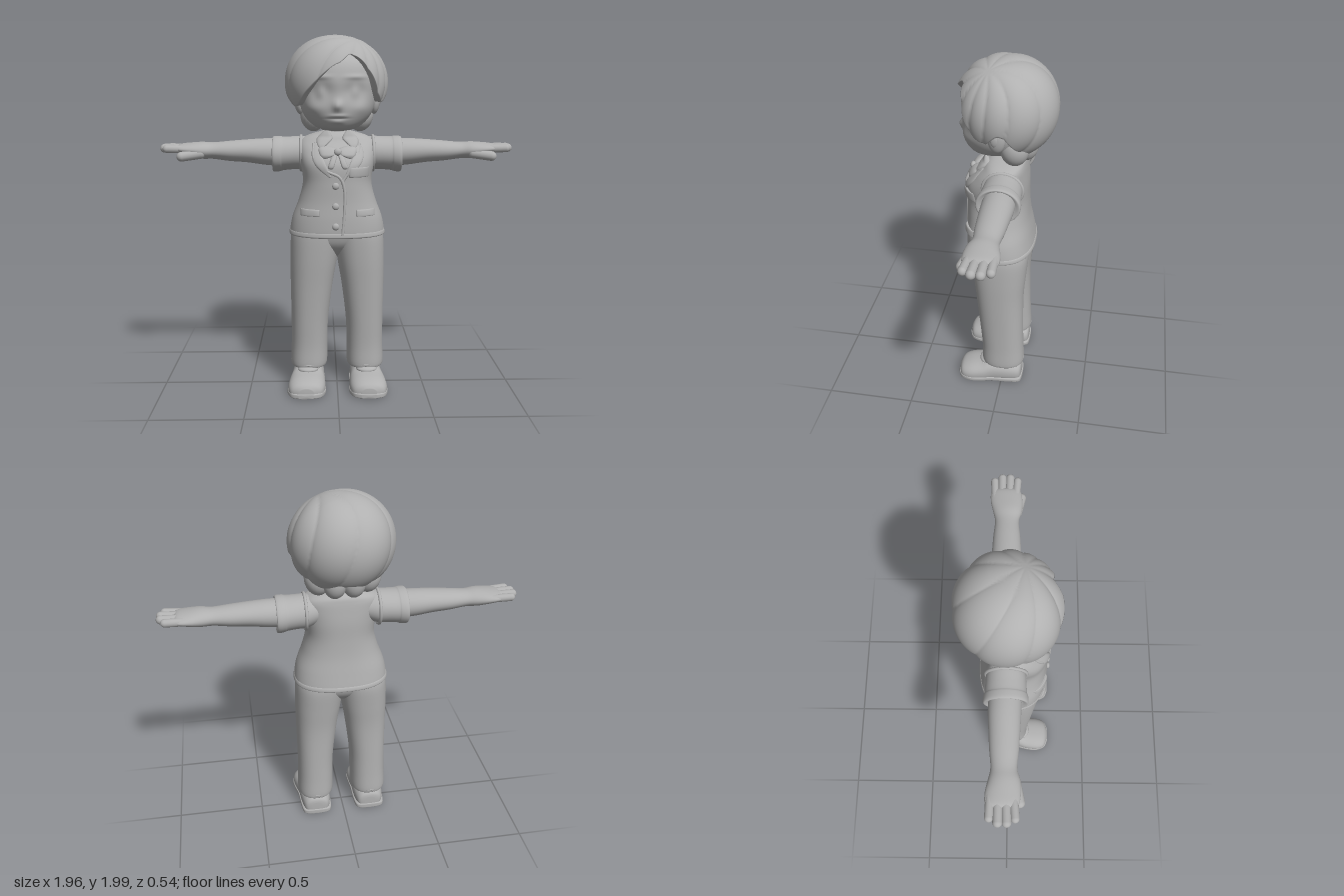
import * as THREE from 'three';

const clay = new THREE.MeshStandardMaterial({ color: 0xb0b0b0 });
clay.name = 'grey clay';

// Catmull-Rom blend of section rows at u in [0, 1]
function blend(rows, u) {
  const f = u * (rows.length - 1), i = Math.min(Math.floor(f), rows.length - 2), t = f - i;
  const at = k => rows[Math.max(0, Math.min(rows.length - 1, k))];
  return rows[0].map((_, c) => {
    const [a, b, d, e] = [at(i - 1)[c], at(i)[c], at(i + 1)[c], at(i + 2)[c]];
    return b + 0.5 * t * (d - a + t * (2 * a - 5 * b + 4 * d - e + t * (3 * (b - d) + e - a)));
  });
}

// Grid of rings to a smooth surface; closed at both ends
function skin(rings, flip) {
  const n = rings[0].length, pos = rings.flat(2), idx = [];
  const tri = (a, b, c) => (flip ? idx.push(a, c, b) : idx.push(a, b, c));
  for (let i = 0; i < rings.length - 1; i++) for (let j = 0; j < n; j++) {
    const a = i * n + j, b = i * n + (j + 1) % n;
    tri(a, b, a + n); tri(b, b + n, a + n);
  }
  [0, rings.length - 1].forEach((r, end) => {
    const mid = [0, 1, 2].map(k => rings[r].reduce((s, p) => s + p[k], 0) / n);
    pos.push(...mid);
    const m = pos.length / 3 - 1;
    for (let j = 0; j < n; j++) {
      const a = r * n + j, b = r * n + (j + 1) % n;
      end ? tri(a, b, m) : tri(b, a, m);
    }
  });
  const g = new THREE.BufferGeometry();
  g.setAttribute('position', new THREE.Float32BufferAttribute(pos, 3));
  g.setIndex(idx);
  g.computeVertexNormals();
  return g;
}

// Loft of super-ellipses; rows are [along, centre u, centre v, radius u, radius v]
function loft(axis, rows, n = 2, rule = p => p, steps = 32, segs = 40) {
  const rings = [];
  const pw = s => Math.sign(s) * Math.abs(s) ** (2 / n);
  for (let i = 0; i <= steps; i++) {
    const [t, cu, cv, ru, rv] = blend(rows, i / steps), ring = [];
    for (let j = 0; j < segs; j++) {
      const a = j / segs * Math.PI * 2, u = cu + ru * pw(Math.cos(a)), v = cv + rv * pw(Math.sin(a));
      ring.push(rule(axis === 'x' ? [t, u, v] : axis === 'y' ? [u, t, v] : [u, v, t]));
    }
    rings.push(ring);
  }
  return skin(rings, axis === 'y');
}

function mirrored(geo) {
  const g = geo.toNonIndexed();
  g.scale(-1, 1, 1);
  for (const a of Object.values(g.attributes)) {
    const s = a.itemSize;
    for (let i = 0; i < a.count; i += 3) for (let k = 0; k < s; k++) {
      const p = i * s + k, q = (i + 2) * s + k, h = a.array[p];
      a.array[p] = a.array[q]; a.array[q] = h;
    }
  }
  return g;
}

function ball(x, y, z, rx, ry, rz, rot = 0) {
  return new THREE.SphereGeometry(1, 24, 16).scale(rx, ry, rz).rotateZ(rot).translate(x, y, z);
}

function capsule(a, b, r) {
  const p = new THREE.Vector3(...a), q = new THREE.Vector3(...b), d = q.clone().sub(p);
  const g = new THREE.CapsuleGeometry(r, d.length(), 8, 16);
  g.applyQuaternion(new THREE.Quaternion().setFromUnitVectors(new THREE.Vector3(0, 1, 0), d.normalize()));
  return g.translate(...p.add(q).multiplyScalar(0.5).toArray());
}

// Vest body
const VEST = [[0.9, 0, 0.025, 0.25, 0.18], [0.915, 0, 0.028, 0.264, 0.19], [1.0, 0, 0.036, 0.25, 0.184],
  [1.1, 0, 0.042, 0.213, 0.173], [1.2, 0, 0.046, 0.19, 0.17], [1.3, 0, 0.045, 0.203, 0.168],
  [1.37, 0, 0.026, 0.213, 0.143], [1.42, 0, 0.006, 0.205, 0.116], [1.45, 0, 0, 0.16, 0.1], [1.475, 0, 0, 0.075, 0.07]];

// Depth of the vest front at (x, y)
function front(x, y) {
  let lo = 0, hi = 1;
  for (let k = 0; k < 16; k++) blend(VEST, (lo + hi) / 2)[0] < y ? lo = (lo + hi) / 2 : hi = (lo + hi) / 2;
  const [, , cz, rx, rz] = blend(VEST, lo);
  return cz + rz * Math.max(0, 1 - Math.abs(x / rx) ** 2.4) ** (1 / 2.4);
}

// Padded cloth piece draped on the vest front; rows are [y, centre x, half width, thickness]
function pad(rows) {
  return loft('y', rows.map(([y, x, w, d]) => [y, x, 0, w, d]), 3,
    ([x, y, z]) => [x, y, z + front(x, Math.min(y, 1.445))], 18, 28);
}

function flap(x, y, w, h) {
  return pad([[y - h, x, w * 0.9, 0.002], [y - h * 0.85, x, w, 0.013], [y + h * 0.85, x, w, 0.013], [y + h, x, w * 0.9, 0.002]]);
}

function piping(points, r = 0.008) {
  const c = new THREE.CatmullRomCurve3(points.map(([x, y]) => new THREE.Vector3(x, y, front(x, y))));
  return new THREE.TubeGeometry(c, 40, r, 10);
}

// Face relief: nose, eye hollows, eyeballs, lips, brows, cheeks as soft bumps [x, y, width, height, amount]
const RELIEF = [[0, 1.615, 0.024, 0.03, 0.024], [0.09, 1.69, 0.05, 0.05, -0.024], [0.09, 1.685, 0.026, 0.036, 0.02],
  [0, 1.563, 0.04, 0.009, 0.008], [0, 1.548, 0.05, 0.005, -0.005], [0, 1.53, 0.03, 0.012, 0.006],
  [0.1, 1.765, 0.06, 0.012, 0.008], [0.13, 1.6, 0.05, 0.035, 0.008]];
function face([x, y, z]) {
  if (z > 0.06) for (const [bx, by, w, h, k] of RELIEF)
    z += k * Math.exp(-(((Math.abs(x) - bx) / w) ** 2) - ((y - by) / h) ** 2);
  return [x, y, z];
}

// Swept hair: a grooved cap whose lower edge follows a hairline
const HAIRLINE = [1.83, 1.88, 1.82, 1.68, 1.63, 1.69, 1.61, 1.55, 1.54, 1.56, 1.57, 1.56, 1.54, 1.55, 1.61, 1.68, 1.62, 1.62, 1.69, 1.77, 1.83]
  .map(y => [y]);
function hairCap() {
  const rows = 50, segs = 180, rings = [];
  for (let i = 1; i <= rows + 4; i++) {
    const t = Math.min(i / rows, 1), tuck = [1, 0.97, 0.9, 0.8, 0.68][Math.max(0, i - rows)], ring = [];
    for (let j = 0; j < segs; j++) {
      const a = j / segs * Math.PI * 2, edge = blend(HAIRLINE, j / segs)[0];
      const phi = t * Math.acos((edge - 1.735) / 0.255), s = Math.sin(phi) ** 0.9;
      const x = Math.sin(a) * s, z = Math.cos(a) * s;
      const dx = x - 0.4, dz = z - 0.3, away = Math.min(1, Math.hypot(dx, dz) * 1.5);
      const lock = Math.abs(Math.sin(Math.atan2(dx, dz) * 5 + phi * 0.9)) ** 0.6;
      const k = (0.965 + 0.05 * away * lock) * tuck;
      ring.push([x * 0.28 * k - 0.003, 1.735 + 0.255 * Math.cos(phi) * (0.985 + 0.03 * lock * away) + (1 - tuck) * 0.04, z * 0.272 * k]);
    }
    rings.push(ring);
  }
  return skin(rings, true);
}

export function createModel() {
  const model = new THREE.Group();
  model.name = 'standing figure';
  const add = (name, geo) => {
    const m = new THREE.Mesh(geo, clay);
    m.name = name;
    model.add(m);
  };
  const pair = (name, geo) => { add(name + 'Left', geo); add(name + 'Right', mirrored(geo)); };

  // Head and hair
  add('head', loft('y', [[1.478, 0, 0.08, 0.04, 0.05], [1.495, 0, 0.06, 0.11, 0.125], [1.54, 0, 0.03, 0.167, 0.188],
    [1.6, 0, 0.02, 0.2, 0.212], [1.68, 0, 0.02, 0.213, 0.213], [1.76, 0, 0.02, 0.213, 0.213],
    [1.85, 0, 0.01, 0.19, 0.19], [1.93, 0, 0, 0.1, 0.1]], 2.15, face, 90, 100));
  add('hair', hairCap());
  pair('napeOuterLock', ball(0.135, 1.555, -0.06, 0.07, 0.09, 0.075, -0.15));
  pair('napeInnerLock', ball(0.05, 1.55, -0.11, 0.065, 0.09, 0.065));
  pair('ear', ball(0.21, 1.64, 0.02, 0.028, 0.075, 0.045, -0.1));
  pair('earInner', ball(0.232, 1.645, 0.028, 0.01, 0.035, 0.02, -0.1));
  add('neck', loft('y', [[1.4, 0, 0.01, 0.09, 0.085], [1.46, 0, 0.01, 0.072, 0.068], [1.54, 0, 0.01, 0.07, 0.066]]));

  // Vest with hem, opening, lapels, pockets and buttons
  add('vest', loft('y', VEST, 2.4, p => p, 60, 64));
  add('vestHem', loft('y', [[0.9, 0, 0.028, 0.25, 0.18], [0.905, 0, 0.028, 0.267, 0.193], [0.917, 0, 0.028, 0.268, 0.194],
    [0.93, 0, 0.029, 0.263, 0.19], [0.933, 0, 0.029, 0.25, 0.18]], 2.4, p => p, 16, 64));
  add('vestOpening', piping([[-0.13, 1.41], [-0.125, 1.33], [-0.06, 1.27], [0.01, 1.235], [0.035, 1.17], [0.035, 1.05], [0.025, 0.92]]));
  add('lapelEdge', piping([[0.12, 1.41], [0.11, 1.35], [0.075, 1.29], [0.03, 1.22]]));
  pair('lapel', pad([[1.235, 0.04, 0.006, 0.004], [1.29, 0.085, 0.028, 0.01], [1.35, 0.11, 0.03, 0.01], [1.42, 0.105, 0.02, 0.006]]));
  pair('collarFlap', pad([[1.385, 0.09, 0.006, 0.006], [1.41, 0.082, 0.03, 0.02], [1.44, 0.068, 0.042, 0.022], [1.48, 0.06, 0.012, 0.008]]));
  pair('bowWing', pad([[1.335, 0.07, 0.01, 0.004], [1.355, 0.055, 0.042, 0.022], [1.385, 0.055, 0.048, 0.024], [1.4, 0.07, 0.016, 0.008]]));
  pair('bowTail', pad([[1.28, 0.038, 0.006, 0.004], [1.295, 0.036, 0.016, 0.014], [1.36, 0.014, 0.014, 0.016]]));
  add('bowKnot', ball(0, 1.37, front(0, 1.37) + 0.018, 0.022, 0.02, 0.016));
  [0.97, 1.08, 1.19].forEach((y, i) => add('button' + i, ball(-0.012, y, front(0, y) + 0.004, 0.019, 0.019, 0.012)));
  pair('pocketFlap', flap(0.15, 1.042, 0.052, 0.018));
  add('chestPocket', flap(0.115, 1.262, 0.055, 0.026));
  pair('armholeEdge', new THREE.TorusGeometry(0.1, 0.009, 12, 48).scale(1.06, 0.96, 1).rotateY(Math.PI / 2).translate(0.2, 1.348, -0.008));

  // Sleeves and arms
  pair('sleeve', loft('x', [[0.12, 1.36, -0.01, 0.07, 0.08], [0.19, 1.352, -0.01, 0.091, 0.1], [0.25, 1.349, -0.01, 0.092, 0.105],
    [0.3, 1.346, -0.01, 0.094, 0.109], [0.315, 1.345, -0.01, 0.098, 0.114], [0.345, 1.343, -0.01, 0.1, 0.117],
    [0.358, 1.343, -0.01, 0.094, 0.11], [0.352, 1.345, -0.01, 0.08, 0.088]]));
  pair('arm', loft('x', [[0.3, 1.352, -0.012, 0.078, 0.085], [0.4, 1.356, -0.015, 0.074, 0.085], [0.5, 1.36, -0.015, 0.064, 0.08],
    [0.6, 1.36, -0.015, 0.056, 0.074], [0.69, 1.362, -0.015, 0.046, 0.066], [0.75, 1.364, -0.013, 0.047, 0.08],
    [0.81, 1.369, -0.018, 0.038, 0.088], [0.87, 1.373, -0.022, 0.027, 0.083], [0.89, 1.374, -0.022, 0.012, 0.06]]));
  [[-0.085, 0.935, 0.022], [-0.043, 0.957, 0.024], [0.001, 0.957, 0.024], [0.042, 0.938, 0.022]].forEach(([z, x, r], i) =>
    pair('finger' + i, capsule([0.83, 1.372, z * 0.9 - 0.004], [x, 1.376, z], r)));
  pair('thumb', capsule([0.755, 1.348, 0.042], [0.855, 1.335, 0.064], 0.027));

  // Trousers
  add('hips', loft('y', [[0.77, 0, 0.02, 0.03, 0.04], [0.8, 0, 0.02, 0.12, 0.09], [0.86, 0, 0.02, 0.2, 0.138], [0.95, 0, 0.022, 0.24, 0.16]], 2.5));
  pair('trouserLeg', loft('y', [[0.125, 0.163, -0.003, 0.09, 0.11], [0.135, 0.163, -0.003, 0.105, 0.125], [0.25, 0.16, 0, 0.104, 0.123],
    [0.4, 0.157, 0.008, 0.106, 0.127], [0.6, 0.146, 0.018, 0.119, 0.136], [0.75, 0.134, 0.02, 0.132, 0.15],
    [0.88, 0.123, 0.02, 0.138, 0.16], [0.95, 0.115, 0.025, 0.13, 0.155]], 2.3));
  pair('trouserHem', new THREE.TorusGeometry(0.1, 0.008, 10, 48).rotateX(Math.PI / 2).scale(0.98, 1, 1.18).translate(0.163, 0.142, -0.003));

  // Shoes with flat soles
  const ground = ([x, y, z]) => [x, Math.max(0.004, y), z];
  pair('shoe', loft('z', [[-0.118, 0.165, 0.05, 0.03, 0.03], [-0.105, 0.165, 0.05, 0.07, 0.06], [-0.04, 0.165, 0.055, 0.088, 0.075],
    [0.06, 0.168, 0.055, 0.093, 0.08], [0.12, 0.172, 0.045, 0.102, 0.07], [0.19, 0.175, 0.035, 0.104, 0.066],
    [0.24, 0.176, 0.03, 0.085, 0.052], [0.26, 0.176, 0.028, 0.04, 0.03]], 2.3, ground));
  pair('sole', loft('z', [[-0.124, 0.165, 0.016, 0.03, 0.012], [-0.11, 0.165, 0.016, 0.08, 0.016], [-0.04, 0.165, 0.016, 0.093, 0.016],
    [0.06, 0.168, 0.016, 0.096, 0.016], [0.13, 0.173, 0.016, 0.106, 0.016], [0.19, 0.175, 0.016, 0.108, 0.016],
    [0.245, 0.176, 0.016, 0.085, 0.016], [0.266, 0.176, 0.016, 0.04, 0.012]], 5));
  pair('shoeTongue', ball(0.168, 0.115, 0.09, 0.06, 0.022, 0.05));
  pair('shoeStrap', new THREE.TorusGeometry(0.085, 0.01, 10, 32, Math.PI).scale(1.08, 0.95, 1).rotateX(-0.2).translate(0.171, 0.036, 0.125));
  return model;
}
